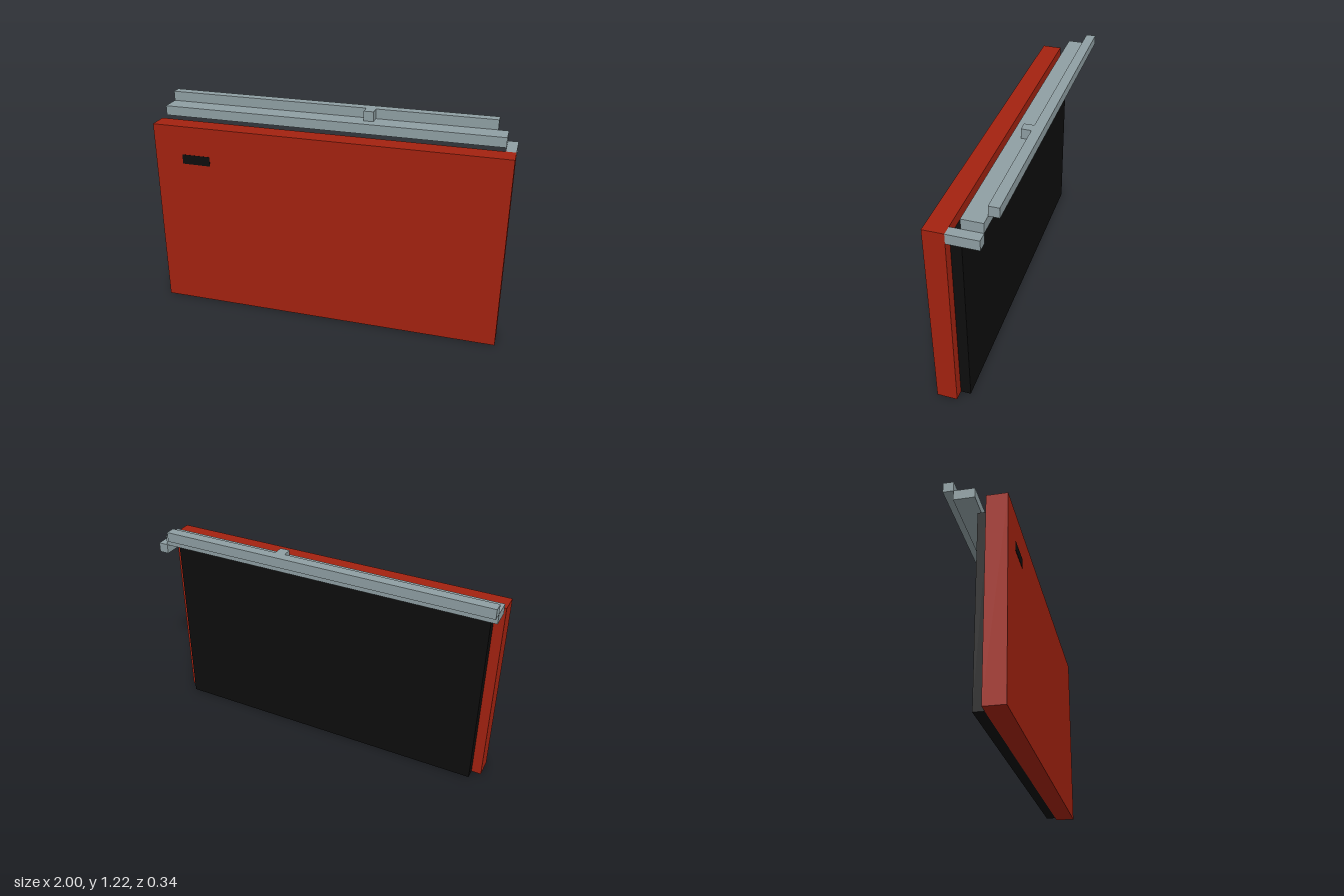
import * as THREE from 'three';

const U = 1 / 18; // block unit

export function createModel() {
  const model = new THREE.Group();
  model.name = 'slidingPanel';

  const material = (name, color) => {
    const m = new THREE.MeshStandardMaterial({ color });
    m.name = name;
    return m;
  };
  const red = material('red', 0xa32210);
  const black = material('black', 0x0d0d0d);
  const grey = material('grey', 0x8f9fa3);

  // Box given by its [min, max] along each axis, in block units
  const box = (name, mat, x, y, z) => {
    const size = [x, y, z].map(([a, b]) => (b - a) * U);
    const mid = [x, y, z].map(([a, b]) => ((a + b) / 2) * U);
    const mesh = new THREE.Mesh(new THREE.BoxGeometry(...size), mat);
    mesh.position.set(...mid);
    mesh.name = name;
    model.add(mesh);
  };

  // Front slab, with its recessed backing
  box('frontPanel', red, [-18, 18], [0, 20], [1, 3]);
  box('backPanel', black, [-17, 17], [0, 19], [0, 1]);

  // Thin dark slot on the front
  box('frontSlot', black, [-15, -12], [16, 17], [3, 3.03]);

  // Stepped rail along the top
  box('endBracket', grey, [17, 18], [19, 20], [-2, 1]);
  box('lowerRail', grey, [-18, 17], [20, 21], [-2, 0]);
  box('upperRail', grey, [-18, 16], [21, 22], [-3, -2]);
  box('railStop', grey, [3, 4], [21, 22], [-2, -1]);

  return model;
}
